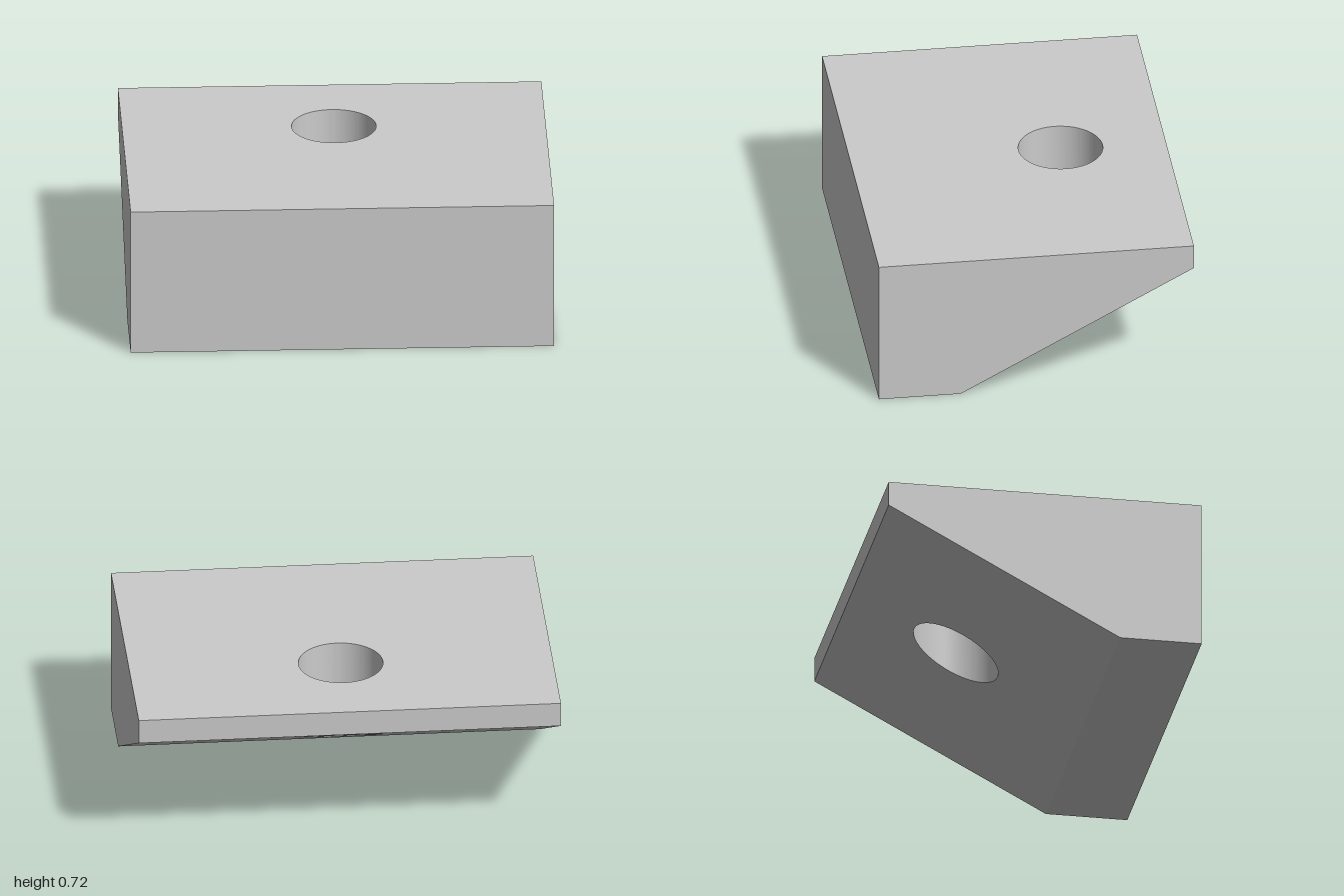
import * as THREE from 'three';
import { mergeGeometries, toCreasedNormals } from 'three/addons/utils/BufferGeometryUtils.js';

const HEIGHT = 0.72, HALF_W = 1, HALF_D = 0.75;
const CREASE_Z = 0.36;   // where the flat underside turns into the slope
const BACK_Y = 0.6;      // underside height at the back edge

// Upright slab between two z positions, with an optional round hole
function slab(zBack, zFront, hole) {
  const shape = new THREE.Shape([
    new THREE.Vector2(-HALF_W, -zFront), new THREE.Vector2(HALF_W, -zFront),
    new THREE.Vector2(HALF_W, -zBack), new THREE.Vector2(-HALF_W, -zBack),
  ]);
  if (hole) {
    const path = new THREE.Path();
    path.absarc(0, -hole.z, hole.r, 0, Math.PI * 2, true);
    shape.holes.push(path);
  }
  return new THREE.ExtrudeGeometry(shape, { depth: HEIGHT, bevelEnabled: false, curveSegments: 64 })
    .rotateX(-Math.PI / 2);
}

// Drop the inner walls where the two slabs meet
function withoutSeam(geometry) {
  const p = geometry.attributes.position;
  const kept = [];
  for (let i = 0; i < p.count; i += 3) {
    const onSeam = [0, 1, 2].every((k) => Math.abs(p.getZ(i + k) - CREASE_Z) < 1e-4);
    if (onSeam) continue;
    for (let k = 0; k < 3; k++) kept.push(p.getX(i + k), p.getY(i + k), p.getZ(i + k));
  }
  const out = new THREE.BufferGeometry();
  out.setAttribute('position', new THREE.Float32BufferAttribute(kept, 3));
  return out;
}

export function createModel() {
  const group = new THREE.Group();
  group.name = 'wedgeBlock';

  // Rear portion: pierced slab with its underside raised to a slope
  const rear = slab(-HALF_D, CREASE_Z, { z: -0.25, r: 0.2 });
  const p = rear.attributes.position;
  for (let i = 0; i < p.count; i++) {
    if (p.getY(i) < HEIGHT / 2) {
      p.setY(i, BACK_Y * (CREASE_Z - p.getZ(i)) / (CREASE_Z + HALF_D));
    }
  }

  // Front portion: plain flat-bottomed slab
  const front = slab(CREASE_Z, HALF_D);

  const body = toCreasedNormals(mergeGeometries([rear, front].map(withoutSeam)), 0.3);
  const mesh = new THREE.Mesh(body, new THREE.MeshStandardMaterial({ color: 0xcccccc }));
  mesh.name = 'wedgeBody';
  group.add(mesh);
  return group;
}
